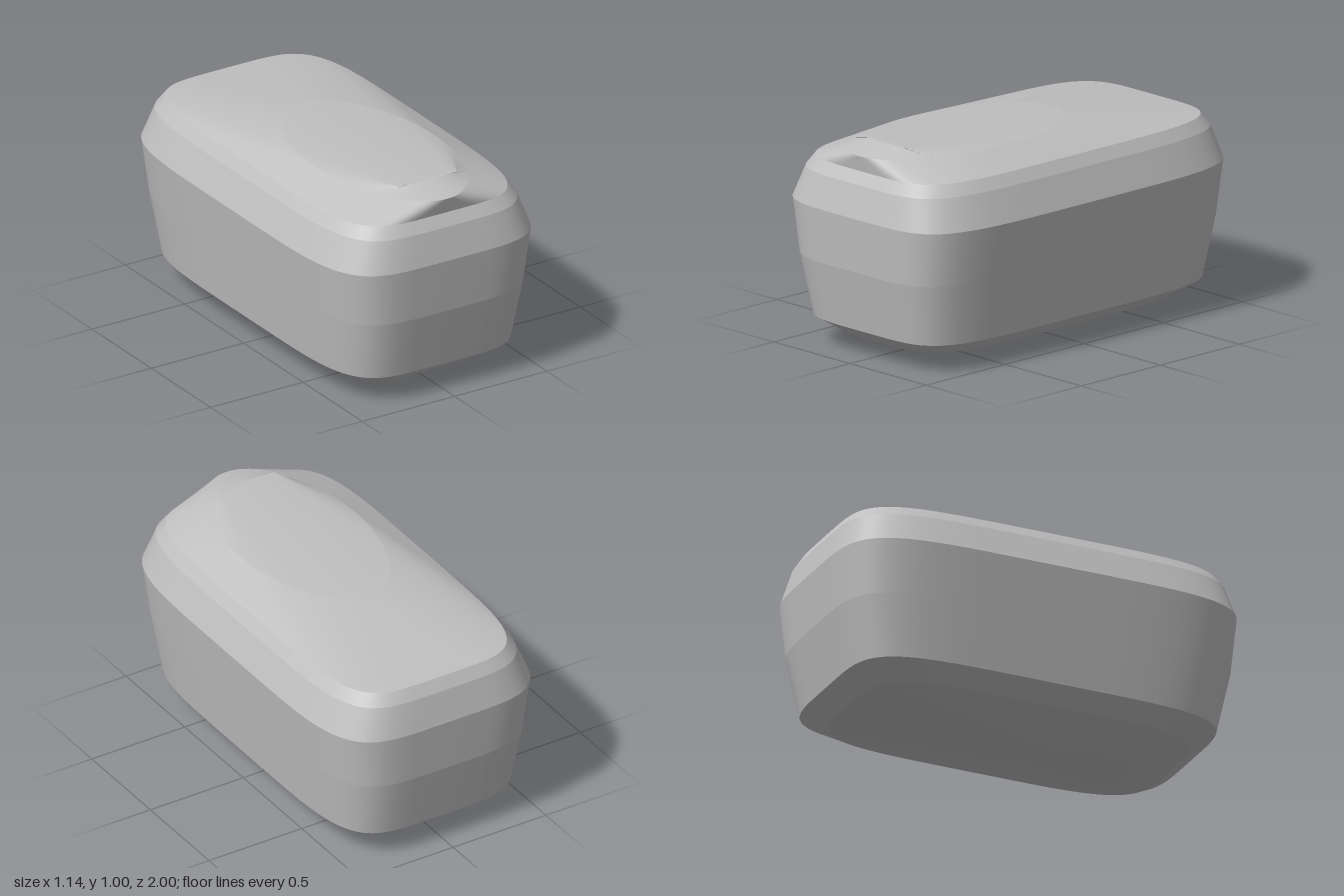
import * as THREE from 'three';

const SEGMENTS = 96;

// One horizontal cross-section: a superellipse of exponent n at height y.
function ring(y, rx, rz, cz, n) {
  const points = [];
  for (let i = 0; i < SEGMENTS; i++) {
    const t = (i / SEGMENTS) * Math.PI * 2;
    const c = Math.cos(t), s = Math.sin(t);
    points.push(new THREE.Vector3(
      rx * Math.sign(c) * Math.abs(c) ** (2 / n),
      y,
      cz + rz * Math.sign(s) * Math.abs(s) ** (2 / n),
    ));
  }
  return points;
}

// Band between two rings: smooth around, creased at its upper and lower edge.
function band(lower, upper) {
  const index = [];
  for (let i = 0; i < SEGMENTS; i++) {
    const j = (i + 1) % SEGMENTS;
    index.push(i, i + SEGMENTS, j, j, i + SEGMENTS, j + SEGMENTS);
  }
  const geometry = new THREE.BufferGeometry().setFromPoints([...lower, ...upper]);
  geometry.setIndex(index);
  geometry.computeVertexNormals();
  return geometry;
}

// Flat lid closing a ring.
function cap(points, cz, facingUp) {
  const index = [];
  for (let i = 0; i < SEGMENTS; i++) {
    const j = (i + 1) % SEGMENTS;
    index.push(SEGMENTS, ...(facingUp ? [j, i] : [i, j]));
  }
  const centre = new THREE.Vector3(0, points[0].y, cz);
  const geometry = new THREE.BufferGeometry().setFromPoints([...points, centre]);
  geometry.setIndex(index);
  geometry.computeVertexNormals();
  return geometry;
}

export function createModel() {
  const group = new THREE.Group();
  group.name = 'roundedBlock';
  const grey = new THREE.MeshStandardMaterial({ color: 0xc0c0c0, side: THREE.DoubleSide });
  grey.name = 'plain grey';

  const add = (name, geometry) => {
    const mesh = new THREE.Mesh(geometry, grey);
    mesh.name = name;
    group.add(mesh);
  };

  // Cross-sections from the base to the ridge: y, half width, half length, centre z, exponent
  const sections = [
    [0, 0.16, 0.21, 0.41, 2],
    [0.065, 0.4, 0.815, 0.005, 4.5],
    [0.135, 0.495, 0.92, 0, 5],
    [0.43, 0.535, 0.98, 0, 5],
    [0.69, 0.57, 1, 0, 5],
    [0.84, 0.51, 0.96, 0, 5],
    [0.895, 0.472, 0.925, 0, 5],
    [0.97, 0.32, 0.61, 0.33, 2],
    [1.005, 0.16, 0.015, 0.77, 2],
  ];
  const names = ['underside', 'lowerBevel', 'lowerWall', 'upperWall', 'shoulder',
    'upperBevel', 'topSurface', 'raisedLip'];
  const rings = sections.map((s) => ring(...s));

  names.forEach((name, i) => add(name, band(rings[i], rings[i + 1])));
  add('baseCap', cap(rings[0], 0.41, false));
  add('ridgeCap', cap(rings[8], 0.77, true));
  return group;
}
